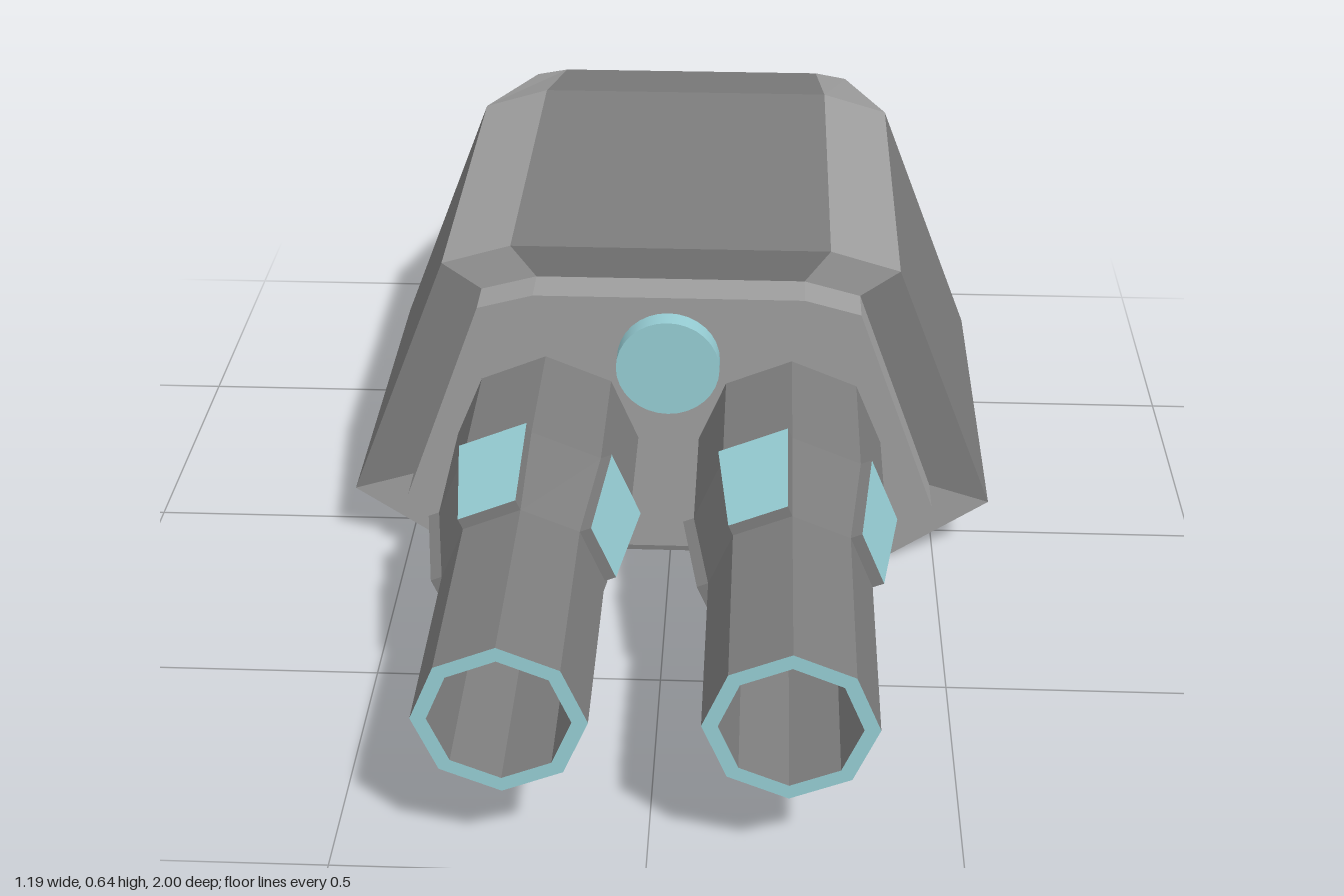
import * as THREE from 'three';

const material = (color) => new THREE.MeshStandardMaterial({ color, flatShading: true });
const dark = material(0x7d7d7d);
const light = material(0x9e9e9e);
const cyan = material(0x96cdd4);

// Skins matching counter-clockwise outlines; each section is { z, points }.
function loft(name, mat, sections, { sides, capStart = false, capEnd = false } = {}) {
  const positions = [];
  const put = (s, i) => positions.push(s.points[i][0], s.points[i][1], s.z);
  const n = sections[0].points.length;
  const cap = (s, flip) => {
    for (let i = 1; i < n - 1; i++) {
      put(s, 0);
      put(s, flip ? i + 1 : i);
      put(s, flip ? i : i + 1);
    }
  };
  for (let k = 0; k < sections.length - 1; k++) {
    const a = sections[k], b = sections[k + 1];
    for (let i = 0; i < n; i++) {
      if (sides && !sides.includes(i)) continue;
      const j = (i + 1) % n;
      put(a, i); put(a, j); put(b, j);
      put(a, i); put(b, j); put(b, i);
    }
  }
  if (capStart) cap(sections[0], true);
  if (capEnd) cap(sections[sections.length - 1], false);
  const geometry = new THREE.BufferGeometry();
  geometry.setAttribute('position', new THREE.Float32BufferAttribute(positions, 3));
  geometry.computeVertexNormals();
  const mesh = new THREE.Mesh(geometry, mat);
  mesh.name = name;
  return mesh;
}

// Mirrors the +x half of an outline (bottom to top) into a full loop.
const outline = (z, half) => ({
  z, points: [...half, ...half.slice().reverse().map(([x, y]) => [-x, y])],
});

const octagon = (z, r) => ({
  z,
  points: Array.from({ length: 8 }, (_, i) => {
    const a = (i * Math.PI) / 4;
    return [r * Math.cos(a), r * Math.sin(a)];
  }),
});

function createBody() {
  const body = new THREE.Group();
  body.name = 'body';
  const hull = [[0.415, 0], [0.597, 0.125], [0.41, 0.605], [0.285, 0.642]];
  const tail = [[0.34, 0.105], [0.48, 0.165], [0.34, 0.53], [0.275, 0.542]];
  const plate = [[0.345, 0.06], [0.485, 0.16], [0.34, 0.555], [0.24, 0.582]];
  const shell = [outline(-1, tail), outline(-0.635, hull), outline(0.09, hull), outline(0.09, plate)];

  // Broad panels and the paler bevels between them
  body.add(loft('bodyPanels', dark, shell, { sides: [1, 3, 5, 7], capStart: true }));
  body.add(loft('bodyBevels', light, shell, { sides: [0, 2, 4, 6] }));
  body.add(loft('frontPlate', light, [outline(0.09, plate), outline(0.165, plate)], { capEnd: true }));
  return body;
}

function createBarrel() {
  const barrel = new THREE.Group();
  barrel.name = 'barrel';
  const back = 0.43, front = 0.625, rBack = 0.165, rFront = 0.135;

  barrel.add(loft('barrelTube', dark,
    [octagon(0.16, rBack), octagon(back, rBack), octagon(front, rFront), octagon(1, rFront)]));
  barrel.add(loft('muzzleRim', cyan, [octagon(1, rFront), octagon(1, 0.11)]));
  barrel.add(loft('bore', dark, [octagon(1, 0.11), octagon(0.65, 0.11)]));
  barrel.add(loft('boreEnd', cyan, [octagon(0.65, 0.11)], { capEnd: true }));

  // Raised pads on every other facet of the taper
  const padSection = (z, r) => {
    const apothem = r * Math.cos(Math.PI / 8), half = r * Math.sin(Math.PI / 8);
    const outer = apothem + 0.02, inner = apothem - 0.005;
    return { z, points: [[inner, -half], [outer, -half], [outer, half], [inner, half]] };
  };
  const sections = [padSection(back, rBack), padSection(front, rFront)];
  for (let k = 0; k < 4; k++) {
    const pad = new THREE.Group();
    pad.name = 'barrelPad';
    pad.add(loft('padFace', cyan, sections, { sides: [1] }));
    pad.add(loft('padEdges', dark, sections, { sides: [0, 2, 3], capStart: true, capEnd: true }));
    pad.rotation.z = Math.PI / 8 + (k * Math.PI) / 2;
    barrel.add(pad);
  }
  return barrel;
}

export function createModel() {
  const model = new THREE.Group();
  model.name = 'twinBarrelBlaster';
  model.add(createBody());

  for (const side of [-1, 1]) {
    const barrel = createBarrel();
    barrel.name = side > 0 ? 'leftBarrel' : 'rightBarrel';
    barrel.position.set(side * 0.22, 0.295, 0);
    model.add(barrel);
  }

  // Round lens above the barrels
  const lensMaterial = new THREE.MeshStandardMaterial({ color: 0x96cdd4 });
  const lens = new THREE.Mesh(new THREE.CylinderGeometry(0.092, 0.092, 0.045, 32), lensMaterial);
  lens.name = 'lens';
  lens.rotation.x = Math.PI / 2;
  lens.position.set(0, 0.46, 0.18);
  model.add(lens);
  return model;
}
